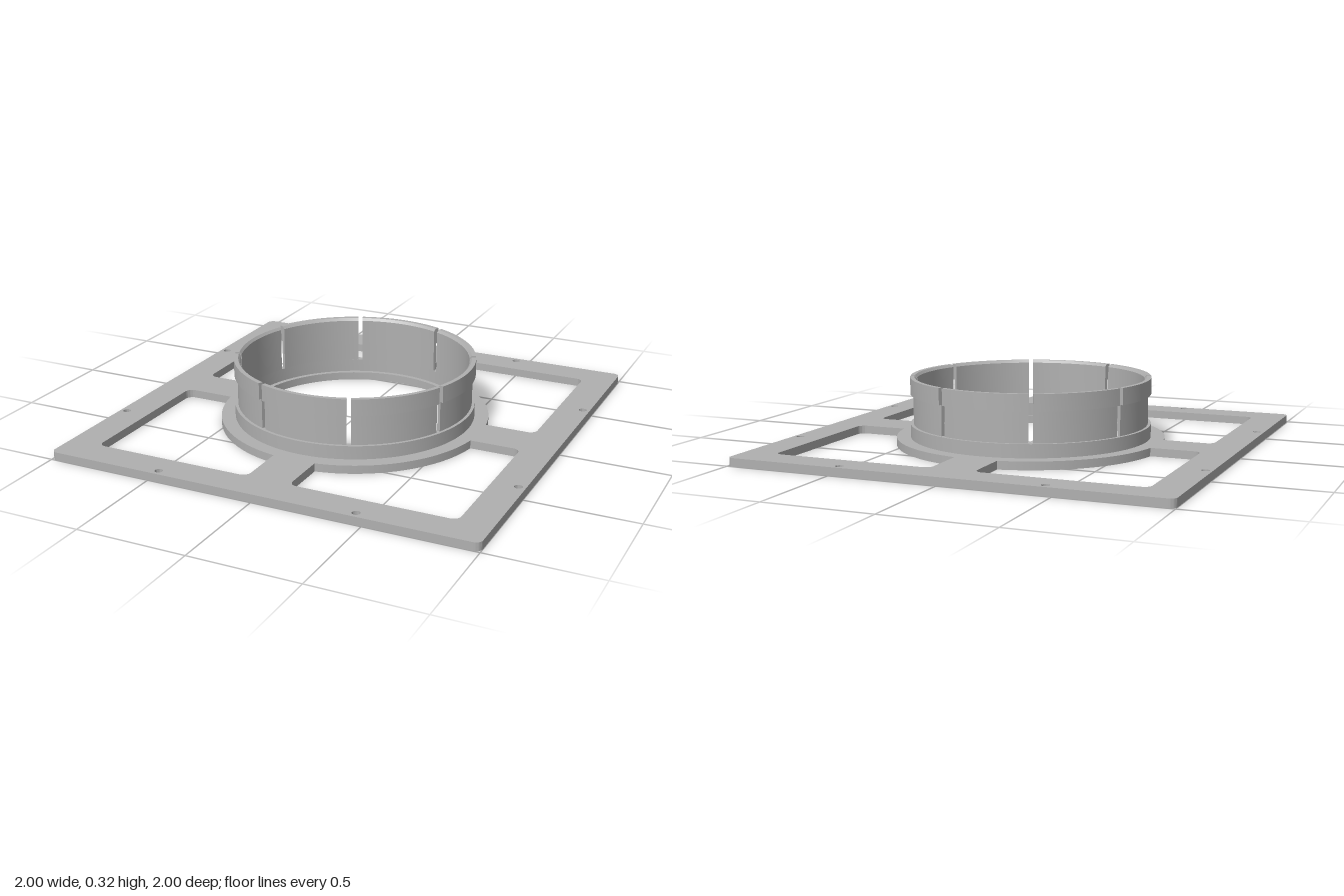
import * as THREE from 'three';
import { toCreasedNormals } from 'three/addons/utils/BufferGeometryUtils.js';

const PLATE = 0.038, RECESS = 0.022; // plate thickness, depth of the round pockets below

const circle = (x, y, r) => new THREE.Path().absarc(x, y, r, 0, Math.PI * 2, true);

// Square outline with rounded corners
function outline(h, r) {
  const s = new THREE.Shape();
  s.absarc(h - r, h - r, r, 0, Math.PI / 2);
  s.absarc(-h + r, h - r, r, Math.PI / 2, Math.PI);
  s.absarc(-h + r, -h + r, r, Math.PI, Math.PI * 1.5);
  s.absarc(h - r, -h + r, r, Math.PI * 1.5, Math.PI * 2);
  s.closePath();
  return s;
}

// Corner window: two straight bars, rounded corners and a concave arc around the collar
function windowPath(turn) {
  const a = 0.1, b = 0.852, r = 0.035, R = 0.625;
  const t = Math.asin(a / R), q = Math.PI / 2;
  const w = new THREE.Path();
  w.absarc(b - r, a + r, r, -q, 0);
  w.absarc(b - r, b - r, r, 0, q);
  w.absarc(a + r, b - r, r, q, 2 * q);
  w.absarc(0, 0, R, q - t, t, true);
  w.closePath();
  const c = Math.cos(turn), s = Math.sin(turn);
  const pts = w.getPoints(24).map(p => new THREE.Vector2(p.x * c - p.y * s, p.x * s + p.y * c));
  return new THREE.Path(pts);
}

function plateLayer(y0, y1, pockets) {
  const s = outline(1, 0.03);
  s.holes.push(circle(0, 0, 0.508));
  for (let i = 0; i < 4; i++) s.holes.push(windowPath(i * Math.PI / 2));
  // Screw holes, two on each side
  for (const u of [-0.463, 0.463]) for (const v of [-0.967, 0.967]) {
    s.holes.push(circle(u, v, 0.018), circle(v, u, 0.018));
  }
  // Round pockets at the corners and the middle of each side
  if (pockets) for (const x of [-1, 0, 1]) for (const y of [-1, 0, 1]) {
    if (x || y) s.holes.push(circle(x * 0.93, y * 0.93, 0.045));
  }
  const g = new THREE.ExtrudeGeometry(s, { depth: y1 - y0, bevelEnabled: false, curveSegments: 48 });
  g.rotateX(-Math.PI / 2).translate(0, y0, 0);
  return toCreasedNormals(g, 0.6);
}

// Closed profile of [radius, height] turned around y
function turned(profile, segments, start, length) {
  const pts = [...profile, profile[0]].map(p => new THREE.Vector2(...p));
  return toCreasedNormals(new THREE.LatheGeometry(pts, segments, start, length), 0.6);
}

export function createModel() {
  const model = new THREE.Group();
  model.name = 'collarPlate';
  const grey = new THREE.MeshStandardMaterial({ color: 0xb0b0b0, side: THREE.DoubleSide });
  grey.name = 'grey';
  const add = (parent, name, geometry) => {
    const m = new THREE.Mesh(geometry, grey);
    m.name = name;
    parent.add(m);
    return m;
  };

  // Frame plate: pocketed lower layer, plain upper layer
  add(model, 'plateLower', plateLayer(0, RECESS, true));
  add(model, 'plateUpper', plateLayer(RECESS, PLATE, false));

  // Solid ring at the foot of the collar
  add(model, 'collarBase', turned([[0.56, PLATE], [0.56, 0.1], [0.53, 0.1], [0.53, PLATE]], 128));

  // Eight spring tabs with a thicker lip, parted by narrow slots
  const tab = [[0.546, 0.1], [0.546, 0.24], [0.56, 0.24], [0.56, 0.317],
    [0.54, 0.317], [0.53, 0.305], [0.53, 0.1]];
  const cap = new THREE.ShapeGeometry(new THREE.Shape(tab.map(p => new THREE.Vector2(...p))));
  const flipped = cap.clone().rotateY(Math.PI);
  flipped.scale(-1, 1, 1);
  const gap = 0.02 / 0.545, span = Math.PI / 4 - gap;
  for (let i = 0; i < 8; i++) {
    const g = new THREE.Group();
    g.name = 'springTab' + (i + 1);
    const start = -span / 2;
    add(g, 'tabWall', turned(tab, 16, start, span));
    add(g, 'tabStart', cap).rotation.y = start - Math.PI / 2;
    add(g, 'tabEnd', cap).rotation.y = start + span - Math.PI / 2;
    g.rotation.y = i * Math.PI / 4;
    model.add(g);
  }
  return model;
}
